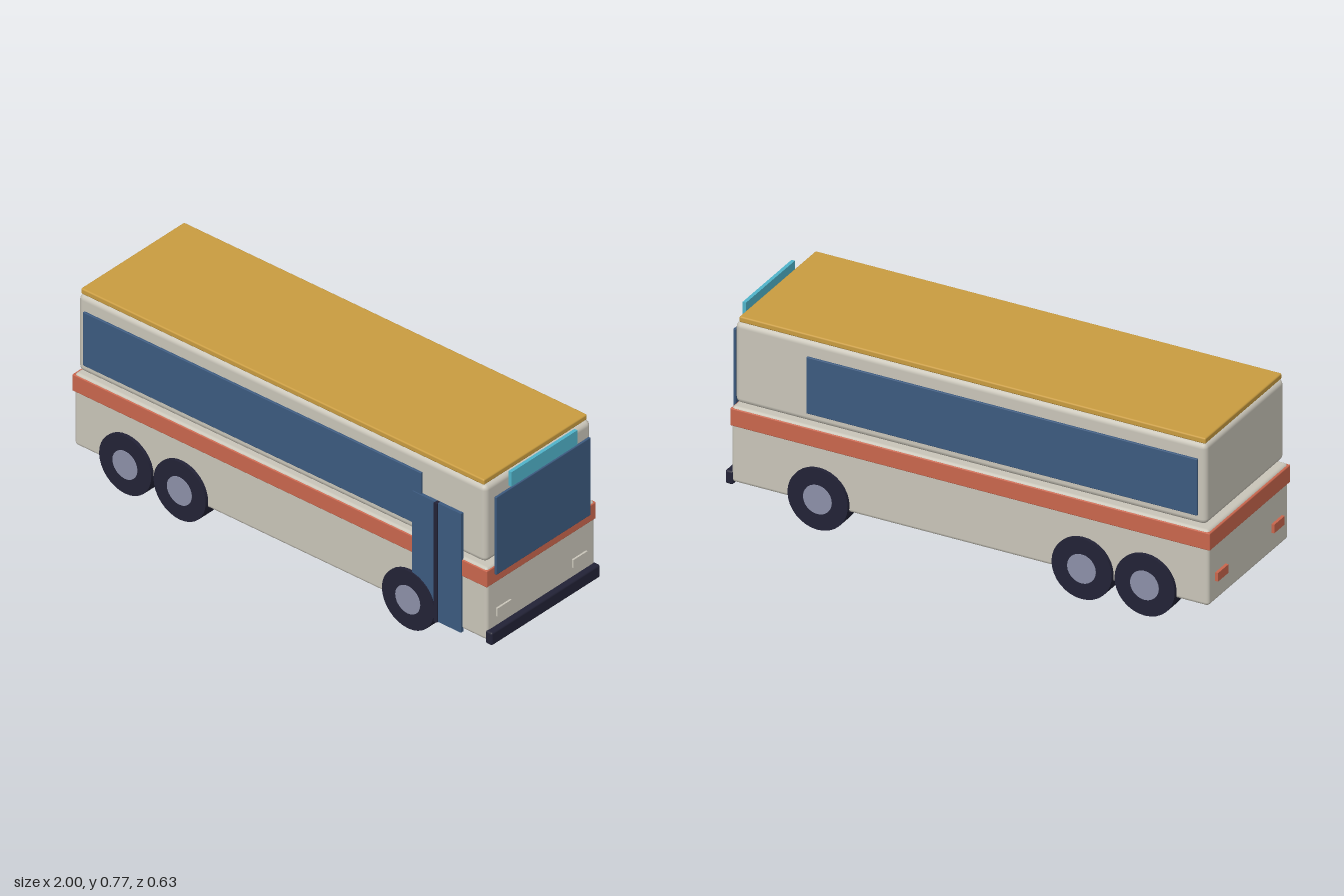
import * as THREE from 'three';
import { RoundedBoxGeometry } from 'three/addons/geometries/RoundedBoxGeometry.js';

const paint = (name, color) => {
  const m = new THREE.MeshStandardMaterial({ color });
  m.name = name;
  return m;
};

export function createModel() {
  const cream = paint('cream', 0xc9c5b9);
  const red = paint('brick red', 0xc9664d);
  const gold = paint('gold', 0xc99c40);
  const glass = paint('blue glass', 0x3c5a7f);
  const navy = paint('dark navy', 0x222236);
  const steel = paint('hub grey', 0x8c90a8);
  const teal = paint('teal', 0x50b4ca);

  const bus = new THREE.Group();
  bus.name = 'bus';

  // Box given by its extents; a bevel radius rounds the edges
  const box = (name, mat, [x0, x1], [y0, y1], [z0, z1], bevel = 0) => {
    const size = [x1 - x0, y1 - y0, z1 - z0];
    const geo = bevel
      ? new RoundedBoxGeometry(...size, 2, bevel)
      : new THREE.BoxGeometry(...size);
    const mesh = new THREE.Mesh(geo, mat);
    mesh.name = name;
    mesh.position.set((x0 + x1) / 2, (y0 + y1) / 2, (z0 + z1) / 2);
    bus.add(mesh);
    return mesh;
  };

  // Body shells, stripe and roof
  box('lowerBody', cream, [-0.988, 0.975], [0.095, 0.405], [-0.298, 0.298], 0.014);
  box('upperBody', cream, [-0.975, 0.964], [0.419, 0.75], [-0.293, 0.293], 0.022);
  box('stripe', red, [-0.995, 0.978], [0.326, 0.397], [-0.301, 0.301], 0.004);
  box('roof', gold, [-0.968, 0.95], [0.748, 0.772], [-0.285, 0.285], 0.006);

  // Front end
  box('windshield', glass, [0.978, 0.988], [0.365, 0.7], [-0.26, 0.26], 0.003);
  box('destinationSign', teal, [0.978, 0.992], [0.71, 0.772], [-0.182, 0.182]);
  box('frontBumper', navy, [0.968, 1], [0.083, 0.138], [-0.299, 0.299], 0.008);

  // Lamps and side windows, one per side
  for (const s of [1, -1]) {
    const side = s > 0 ? 'left' : 'right';
    const span = (a, b) => (s > 0 ? [a, b] : [-b, -a]);
    box(side + 'Headlight', cream, [0.97, 0.983], [0.178, 0.213], span(0.17, 0.248));
    box(side + 'TailLight', red, [-1, -0.985], [0.178, 0.213], span(0.17, 0.248));
    box(side + 'Window', glass, [-0.943, 0.665], [0.457, 0.688], span(0.292, 0.302), 0.003);
  }

  // Double door with a dark centre post
  box('doorRearLeaf', glass, [0.628, 0.737], [0.085, 0.597], [0.292, 0.307]);
  box('doorFrontLeaf', glass, [0.75, 0.86], [0.085, 0.597], [0.292, 0.307]);
  box('doorPost', navy, [0.736, 0.751], [0.085, 0.597], [0.292, 0.314]);

  // Wheels: one front axle, two rear axles
  const tyreGeo = new THREE.CylinderGeometry(0.124, 0.124, 0.078, 32).rotateX(Math.PI / 2);
  const hubGeo = new THREE.CylinderGeometry(0.059, 0.059, 0.082, 24).rotateX(Math.PI / 2);
  for (const x of [-0.733, -0.474, 0.612]) {
    for (const s of [1, -1]) {
      const wheel = new THREE.Group();
      wheel.name = 'wheel';
      const tyre = new THREE.Mesh(tyreGeo, navy);
      tyre.name = 'tyre';
      const hub = new THREE.Mesh(hubGeo, steel);
      hub.name = 'hub';
      wheel.add(tyre, hub);
      wheel.position.set(x, 0.124, s * 0.273);
      bus.add(wheel);
    }
  }

  return bus;
}
